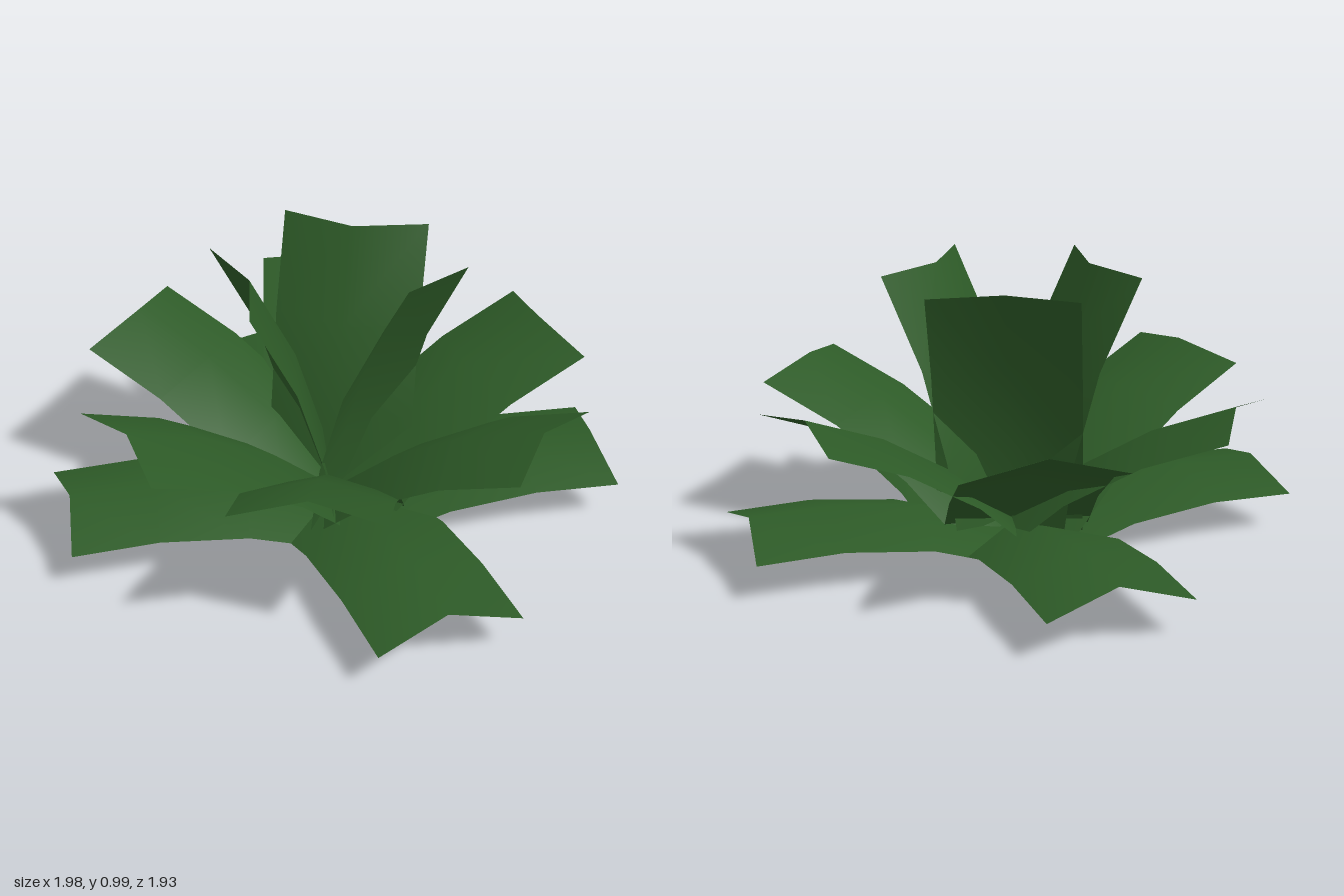
import * as THREE from 'three';

const leafGreen = new THREE.MeshStandardMaterial({ color: 0x2d5a27, side: THREE.DoubleSide });
leafGreen.name = 'leaf green';

// Each tier: midrib points [radius, height] from root to tip,
// drop of the side edges [outward, down], and leaf directions in degrees
const tiers = [
  { name: 'lowerLeaf', rib: [[0, 0.072], [0.33, 0.18], [0.64, 0.217], [0.94, 0.209]],
    fold: [0.03, -0.072], angles: [-115.5, -23.5, 55.5, 154.5] },
  { name: 'middleLeaf', rib: [[0, 0.09], [0.24, 0.31], [0.51, 0.48], [0.80, 0.6]],
    fold: [0.045, -0.045], angles: [-103, -37, 19.5, 84, 136, -163.5] },
  { name: 'upperLeaf', rib: [[0, 0.04], [0.045, 0.35], [0.14, 0.67], [0.295, 0.985]],
    fold: [0.07, 0], angles: [-90, 23, 150.5] },
];

// Strip of constant width, folded along a bent midrib
function leafGeometry({ rib, fold }) {
  const rows = rib.length - 1;
  const geometry = new THREE.PlaneGeometry(0.51, rows, 2, rows);
  const p = geometry.attributes.position;
  for (let i = 0; i < p.count; i++) {
    const [r, y] = rib[rows - Math.floor(i / 3)];
    const side = i % 3 === 1 ? 0 : 1;
    p.setXYZ(i, r + side * fold[0], y + side * fold[1], p.getX(i));
  }
  geometry.computeVertexNormals();
  return geometry;
}

export function createModel() {
  const plant = new THREE.Group();
  plant.name = 'leafyPlant';
  for (const tier of tiers) {
    const geometry = leafGeometry(tier);
    tier.angles.forEach((angle, i) => {
      const leaf = new THREE.Mesh(geometry, leafGreen);
      leaf.name = tier.name + (i + 1);
      leaf.position.set(-0.005, 0, 0.015);
      leaf.rotation.y = -THREE.MathUtils.degToRad(angle);
      plant.add(leaf);
    });
  }
  return plant;
}
